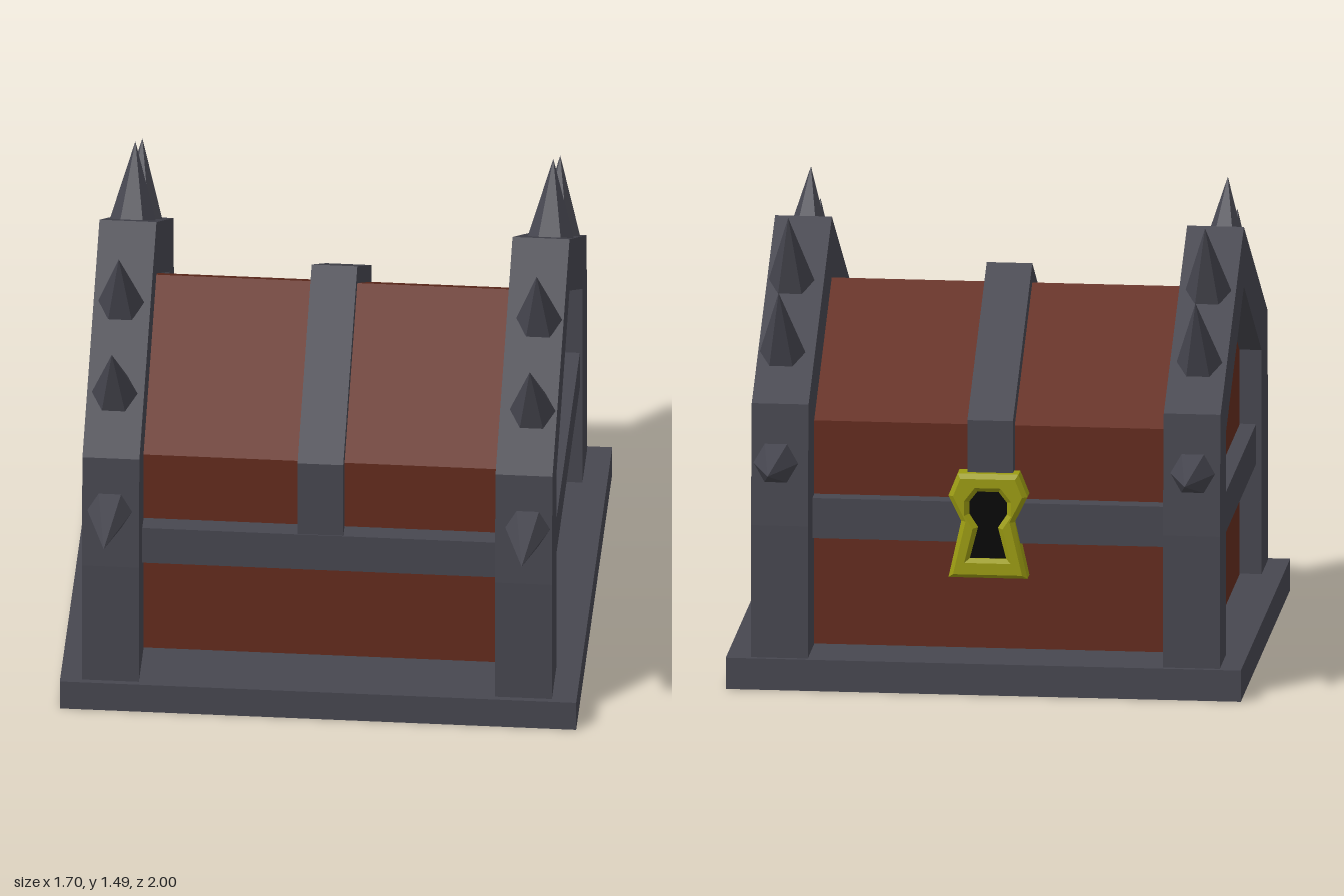
import * as THREE from 'three';

const material = (color) => new THREE.MeshStandardMaterial({ color, flatShading: true });

// Shape mirrored about the vertical axis, from its right-hand half (bottom to top)
function mirroredShape(half) {
  const left = half.filter(([x]) => x > 0).map(([x, y]) => [-x, y]).reverse();
  return new THREE.Shape([...half, ...left].map(([x, y]) => new THREE.Vector2(x, y)));
}

// Extrude a z/y profile along x, centred on x = 0
function extrudeX(shape, width) {
  return new THREE.ExtrudeGeometry(shape, { depth: width, bevelEnabled: false })
    .translate(0, 0, -width / 2)
    .rotateY(Math.PI / 2);
}

export function createModel() {
  const chest = new THREE.Group();
  chest.name = 'spikedChest';
  const wood = material(0x642c1e);
  const metal = material(0x474750);
  const brass = material(0x9c9c12);
  const black = material(0x050505);

  function add(name, geometry, mat, x = 0, y = 0, z = 0, parent = chest) {
    const mesh = new THREE.Mesh(geometry, mat);
    mesh.name = name;
    mesh.position.set(x, y, z);
    parent.add(mesh);
    return mesh;
  }

  // Base slab and gabled wooden body
  add('base', new THREE.BoxGeometry(1.695, 0.105, 1.545), metal, 0, 0.0525, 0);
  add('woodenBody', extrudeX(mirroredShape([[0.547, 0.1], [0.547, 0.857], [0, 1.205]]), 1.41), wood);

  // Strap over the middle of the lid
  add('lidStrap', extrudeX(mirroredShape([[0.605, 0.6], [0.605, 0.885], [0, 1.27]]), 0.15), metal, -0.005);

  // Horizontal bands around the body
  for (const s of [1, -1]) {
    add(s > 0 ? 'frontBand' : 'backBand', new THREE.BoxGeometry(1.2, 0.135, 0.09), metal, 0, 0.5425, s * 0.563);
    add(s > 0 ? 'leftBand' : 'rightBand', new THREE.BoxGeometry(0.08, 0.135, 1.11), metal, s * 0.718, 0.5425, 0);
  }

  // Gabled end frames, open at the bottom
  const outer = [[0.755, 0.1], [0.755, 0.55], [0.73, 0.955], [0, 1.41]];
  const inner = [[0, 1.21], [0.553, 0.86], [0.553, 0.1]];
  const flip = (points) => points.filter(([x]) => x > 0).map(([x, y]) => [-x, y]).reverse();
  const frameShape = new THREE.Shape(
    [...outer, ...flip(outer), ...flip(inner), ...inner].map(([x, y]) => new THREE.Vector2(x, y)));

  // Spikes as [base z, base y, tip z, tip y]
  const spikes = [
    [0.73, 0.757, 1.0, 0.775],
    [0.525, 1.075, 0.655, 1.31],
    [0.245, 1.25, 0.357, 1.49],
  ];

  for (const side of [1, -1]) {
    const end = new THREE.Group();
    end.name = side > 0 ? 'leftEnd' : 'rightEnd';
    chest.add(end);
    add('endFrame', extrudeX(frameShape, 0.187), metal, side * 0.678 - 0.005, 0, 0, end);
    for (const s of [1, -1]) {
      for (const [bz, by, tz, ty] of spikes) {
        const length = Math.hypot(tz - bz, ty - by);
        const cone = new THREE.ConeGeometry(0.077, length, 6).rotateY(Math.PI / 2);
        const spike = add('spike', cone, metal, side * 0.686, (by + ty) / 2, (s * (bz + tz)) / 2, end);
        spike.rotation.x = Math.atan2(s * (tz - bz), ty - by);
      }
    }
  }

  // Lock plate with a keyhole on the back
  const lock = new THREE.Group();
  lock.name = 'lock';
  lock.position.z = -0.55;
  lock.rotation.y = Math.PI;
  chest.add(lock);
  const plate = mirroredShape([[0.13, 0.36], [0.088, 0.55], [0.13, 0.635], [0.1, 0.71]]);
  const keyhole = mirroredShape([[0.06, 0.425], [0.033, 0.53], [0.062, 0.575], [0.062, 0.615], [0.035, 0.65]]);
  plate.holes.push(keyhole);
  add('lockPlate', new THREE.ExtrudeGeometry(plate, {
    depth: 0.06, bevelThickness: 0.015, bevelSize: 0.015, bevelOffset: -0.015, bevelSegments: 1,
  }), brass, 0, 0, 0.015, lock);
  add('keyhole', new THREE.ShapeGeometry(keyhole), black, 0, 0, 0.07, lock);

  return chest;
}
